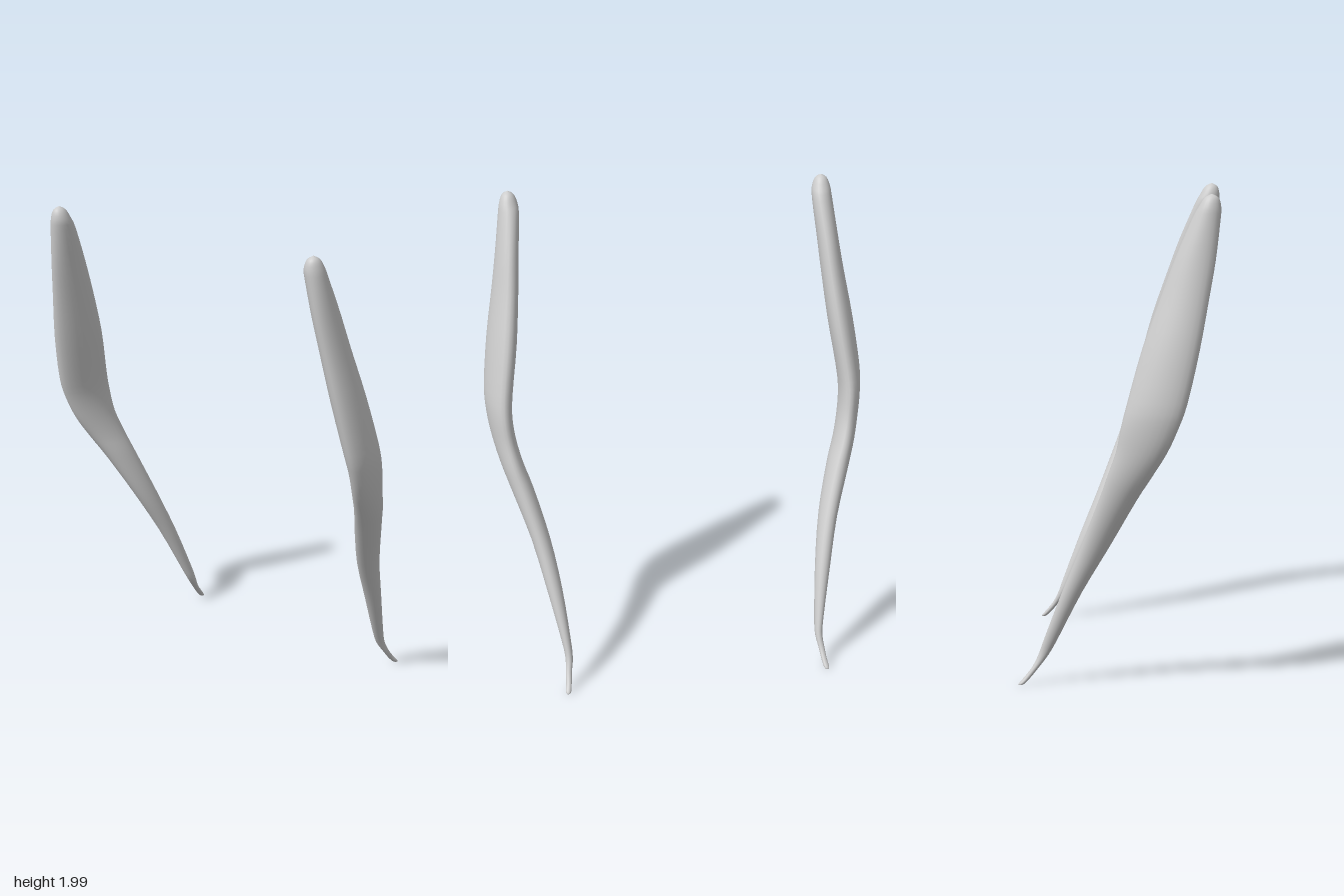
import * as THREE from 'three';

// Cross-sections from the lower tip to the top: y, x min, x max, z min, z max, skew
const SECTIONS = [
  [0.006, 0.565, 0.565, -0.400, -0.400, 0],
  [0.012, 0.554, 0.576, -0.405, -0.382, 0],
  [0.04, 0.547, 0.571, -0.381, -0.354, 0],
  [0.08, 0.541, 0.567, -0.350, -0.322, 0],
  [0.13, 0.532, 0.564, -0.325, -0.284, 0],
  [0.2, 0.535, 0.575, -0.300, -0.245, 0],
  [0.4, 0.555, 0.620, -0.225, -0.145, 0],
  [0.6, 0.590, 0.670, -0.145, -0.030, 0],
  [0.8, 0.645, 0.740, -0.070, 0.080, 0.1],
  [0.9, 0.680, 0.775, -0.035, 0.140, 0.2],
  [1.0, 0.705, 0.802, 0.000, 0.200, 0.3],
  [1.1, 0.715, 0.818, -0.020, 0.245, 0.35],
  [1.2, 0.707, 0.820, -0.045, 0.280, 0.35],
  [1.4, 0.677, 0.797, 0.100, 0.325, 0.35],
  [1.6, 0.657, 0.763, 0.170, 0.360, 0.3],
  [1.75, 0.645, 0.740, 0.225, 0.385, 0.2],
  [1.9, 0.632, 0.720, 0.290, 0.402, 0.1],
  [1.95, 0.635, 0.712, 0.317, 0.404, 0],
  [1.985, 0.650, 0.698, 0.340, 0.394, 0],
  [2.0, 0.674, 0.674, 0.368, 0.368, 0],
];
// Back edge, corrected where the belly bulges away from the centre line
SECTIONS[10][3] = 0.0;
SECTIONS[11][3] = 0.02;
SECTIONS[12][3] = 0.045;

const SIDES = 24;
const ROWS = (SECTIONS.length - 1) * 3;

// Smooth tapered strand lofted through skewed ellipses; side is 1 (left) or -1 (right)
function strandGeometry(side) {
  const spline = (pick) => new THREE.CatmullRomCurve3(
    SECTIONS.map((s) => new THREE.Vector3(...pick(s))), false, 'catmullrom', 0.5);
  const centre = spline(([y, x0, x1, z0, z1]) => [(x0 + x1) / 2, y, (z0 + z1) / 2]);
  const shape = spline(([, x0, x1, z0, z1, skew]) => [(x1 - x0) / 2, skew, (z1 - z0) / 2]);

  const positions = [];
  const indices = [];
  for (let i = 0; i <= ROWS; i++) {
    const c = centre.getPoint(i / ROWS);
    const r = shape.getPoint(i / ROWS);
    for (let j = 0; j < SIDES; j++) {
      const t = (j / SIDES) * Math.PI * 2;
      positions.push(side * (c.x + r.x * Math.cos(t)), c.y, c.z + r.z * Math.sin(t + r.y));
      if (i === ROWS) continue;
      const a = i * SIDES + j;
      const b = i * SIDES + (j + 1) % SIDES;
      const d = a + SIDES;
      const e = b + SIDES;
      if (side > 0) indices.push(a, d, b, b, d, e);
      else indices.push(a, b, d, b, e, d);
    }
  }
  const geometry = new THREE.BufferGeometry();
  geometry.setAttribute('position', new THREE.Float32BufferAttribute(positions, 3));
  geometry.setIndex(indices);
  geometry.computeVertexNormals();
  return geometry;
}

export function createModel() {
  const group = new THREE.Group();
  group.name = 'strandPair';
  const paleGrey = new THREE.MeshStandardMaterial({ color: 0xcccccc });
  paleGrey.name = 'pale grey';

  // Mirrored pair
  for (const [name, side] of [['leftStrand', 1], ['rightStrand', -1]]) {
    const mesh = new THREE.Mesh(strandGeometry(side), paleGrey);
    mesh.name = name;
    group.add(mesh);
  }
  return group;
}
